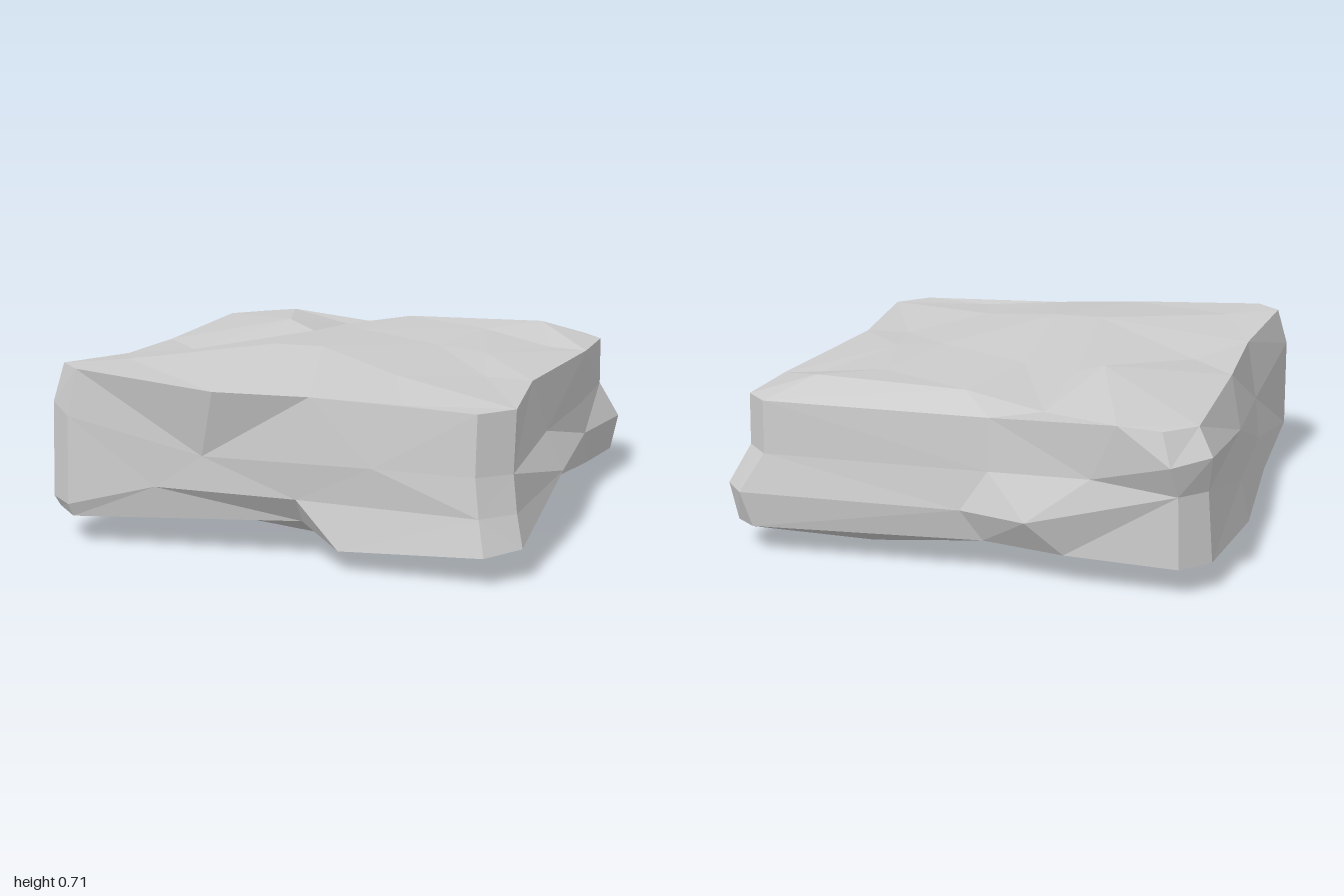
import * as THREE from 'three';

// Outline rings, counter-clockwise from above, starting at the front -x corner.
const rim = [
  [-.88, .68, .83], [-.78, .68, .93], [-.2, .64, .99], [.15, .63, .92],
  [.78, .61, .92], [.89, .61, .79], [.82, .605, .24], [.88, .6, -.5],
  [.88, .6, -.82], [.78, .605, -.92], [-.1, .6, -.88], [-.6, .635, -.96],
  [-.76, .62, -.94], [-.87, .62, -.83], [-.85, .62, -.1], [-.83, .64, .37],
];
const waist = [
  [-.92, .53, .85], [-.81, .5, .95], [-.27, .38, .93], [.4, .39, .95],
  [.78, .385, .94], [.89, .38, .82], [.85, .38, .1], [.87, .38, -.47],
  [.88, .4, -.83], [.78, .4, -.93], [-.1, .4, -.9], [-.5, .42, -.94],
  [-.8, .5, -.98], [-.93, .52, -.87], [-.92, .45, -.27], [-.87, .4, .37],
];
const skirt = [
  [-.92, .16, .87], [-.81, .16, .97], [-.46, .25, .94], [.1, .245, .93],
  [.8, .24, .96], [.91, .24, .84], [.94, .25, .2], [.89, .25, -.47],
  [.96, .25, -.87], [.87, .25, -.97], [0, .25, -.93], [-.27, .25, -1],
  [-.82, .38, -.93], [-.91, .38, -.83], [-.93, .25, -.27], [-.9, .25, .3],
];
const base = [
  [-.9, .12, .86], [-.8, .11, .95], [.1, .145, .86], [.28, .08, .98],
  [.83, .11, 1], [.94, .12, .87], [.86, .16, -.03], [.88, .1, -.55],
  [.93, .1, -.86], [.83, .11, -.95], [-.08, .13, -.9], [-.4, .12, -.94],
  [-.83, .11, -.94], [-.93, .11, -.83], [-.96, .07, -.24], [-.92, .1, .35],
];

// Bumps and hollows inside the top and bottom faces.
const topBumps = [
  [-.68, .68, .68], [-.2, .71, .34], [0, .71, .34], [.36, .65, .52],
  [.48, .61, .86], [.63, .61, .24], [.55, .64, -.1], [.35, .66, -.1],
  [-.07, .67, -.33], [-.28, .65, -.33], [-.4, .69, -.36], [-.66, .62, .1],
  [-.28, .61, -.78], [.03, .665, -.76], [.43, .66, -.55], [.63, .675, -.75],
  [.73, .61, -.48],
];
const bottomBumps = [
  [-.33, 0, .4], [.33, .02, .65], [.74, .065, .52], [.58, .02, -.57],
  [-.53, .02, -.08], [.1, .04, .13], [.26, .1, -.42], [.06, .12, -.5],
  [-.1, .12, -.73], [-.13, .03, -.56], [.4, .04, -.78], [-.65, .07, -.6],
  [-.65, .06, .6],
];

// Is (x, z) inside the ring, seen from above?
function inside(x, z, ring) {
  let hit = false;
  ring.forEach(([ax, , az], i) => {
    const [bx, , bz] = ring[(i + 1) % ring.length];
    if ((az > z) !== (bz > z) && x < ax + (bx - ax) * (z - az) / (bz - az)) hit = !hit;
  });
  return hit;
}

// Triangles over a ring and its bumps: keep those with an empty circumcircle.
function cap(ring, bumps, up) {
  const pts = [...ring, ...bumps], out = [];
  for (let i = 0; i < pts.length; i++)
    for (let j = i + 1; j < pts.length; j++)
      for (let k = j + 1; k < pts.length; k++) {
        const a = pts[i], b = pts[j], c = pts[k];
        const bx = b[0] - a[0], bz = b[2] - a[2], cx = c[0] - a[0], cz = c[2] - a[2];
        const d = 2 * (bx * cz - bz * cx);
        if (Math.abs(d) < 1e-6) continue;
        const b2 = bx * bx + bz * bz, c2 = cx * cx + cz * cz;
        const ux = (cz * b2 - bz * c2) / d, uz = (bx * c2 - cx * b2) / d;
        const r2 = ux * ux + uz * uz;
        const empty = pts.every((p, n) => n === i || n === j || n === k ||
          (p[0] - a[0] - ux) ** 2 + (p[2] - a[2] - uz) ** 2 > r2 - 1e-9);
        if (!empty || !inside((a[0] + b[0] + c[0]) / 3, (a[2] + b[2] + c[2]) / 3, ring)) continue;
        out.push(...((d < 0) === up ? [a, b, c] : [a, c, b]));
      }
  return out;
}

// Band of facets between two rings, each quad split along its shorter diagonal.
function band(upper, lower) {
  const gap = (p, q) => Math.hypot(p[0] - q[0], p[1] - q[1], p[2] - q[2]);
  return upper.flatMap((a, i) => {
    const n = (i + 1) % upper.length, b = upper[n], c = lower[i], d = lower[n];
    return gap(b, c) < gap(a, d) ? [a, c, b, b, c, d] : [a, c, d, a, d, b];
  });
}

export function createModel() {
  const group = new THREE.Group();
  group.name = 'rockSlab';
  const material = new THREE.MeshStandardMaterial({ color: 0xcccccc, flatShading: true });
  const add = (name, corners) => {
    const geometry = new THREE.BufferGeometry();
    geometry.setAttribute('position', new THREE.Float32BufferAttribute(corners.flat(), 3));
    geometry.computeVertexNormals();
    const mesh = new THREE.Mesh(geometry, material);
    mesh.name = name;
    group.add(mesh);
  };
  add('topFace', cap(rim, topBumps, true));
  add('sides', [...band(rim, waist), ...band(waist, skirt), ...band(skirt, base)]);
  add('underside', cap(base, bottomBumps, false));
  return group;
}
